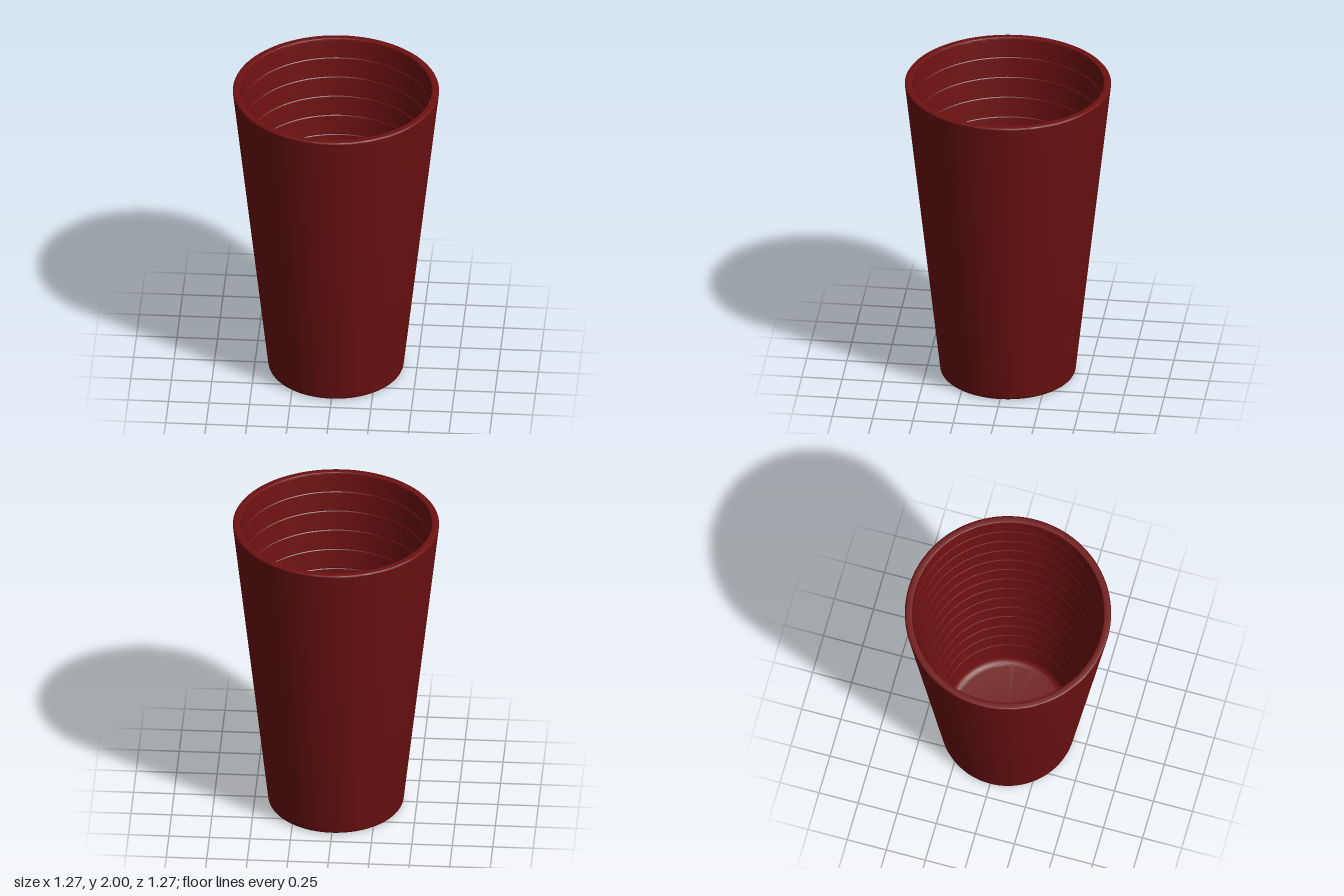
import * as THREE from 'three';
import { toCreasedNormals } from 'three/addons/utils/BufferGeometryUtils.js';

const HEIGHT = 2;
const SLOPE = 0.111;
const outerRadius = (y) => 0.637 - SLOPE * (HEIGHT - y);
const innerRadius = (y) => 0.592 - SLOPE * (HEIGHT - y);

// Rounded corner as a short arc of profile points, angles in degrees
function arc(cx, cy, r, from, to, steps) {
  return Array.from({ length: steps + 1 }, (_, i) => {
    const a = THREE.MathUtils.degToRad(from + ((to - from) * i) / steps);
    return new THREE.Vector2(cx + r * Math.cos(a), cy + r * Math.sin(a));
  });
}

// Revolve a profile around the y axis
function lathe(name, points, material) {
  const geometry = toCreasedNormals(new THREE.LatheGeometry(points, 96), 0.6);
  const mesh = new THREE.Mesh(geometry, material);
  mesh.name = name;
  return mesh;
}

export function createModel() {
  const cup = new THREE.Group();
  cup.name = 'cup';
  const red = new THREE.MeshStandardMaterial({ color: 0x6e1111 });

  // Outer shell: flat base, rounded foot, tapered wall
  const shell = [
    new THREE.Vector2(0, 0),
    ...arc(outerRadius(0.03) - 0.03, 0.03, 0.03, -90, 0, 6),
    new THREE.Vector2(outerRadius(1.99), 1.99),
  ];
  cup.add(lathe('outerShell', shell, red));

  // Rim: flat top with softened edges
  const rim = [
    ...arc(outerRadius(1.99) - 0.01, 1.99, 0.01, 0, 90, 4),
    ...arc(innerRadius(1.99) + 0.006, 1.994, 0.006, 90, 180, 4),
    new THREE.Vector2(innerRadius(1.98), 1.98),
  ];
  cup.add(lathe('rim', rim, red));

  // Inner wall with evenly spaced shallow grooves
  const wall = [new THREE.Vector2(innerRadius(1.98), 1.98)];
  for (let i = 1; i <= 13; i++) {
    const y = HEIGHT - i * 0.13;
    wall.push(
      new THREE.Vector2(innerRadius(y + 0.005), y + 0.005),
      new THREE.Vector2(innerRadius(y) + 0.004, y),
      new THREE.Vector2(innerRadius(y - 0.005), y - 0.005),
    );
  }
  const floorY = 0.1;
  const fillet = 0.05;
  const wallFoot = innerRadius(floorY + fillet);
  wall.push(new THREE.Vector2(wallFoot, floorY + fillet));
  cup.add(lathe('innerWall', wall, red));

  // Inner floor, curving up into the wall
  const floor = [
    ...arc(wallFoot - fillet, floorY + fillet, fillet, 0, -90, 8),
    new THREE.Vector2(0, floorY),
  ];
  cup.add(lathe('innerFloor', floor, red));

  return cup;
}
